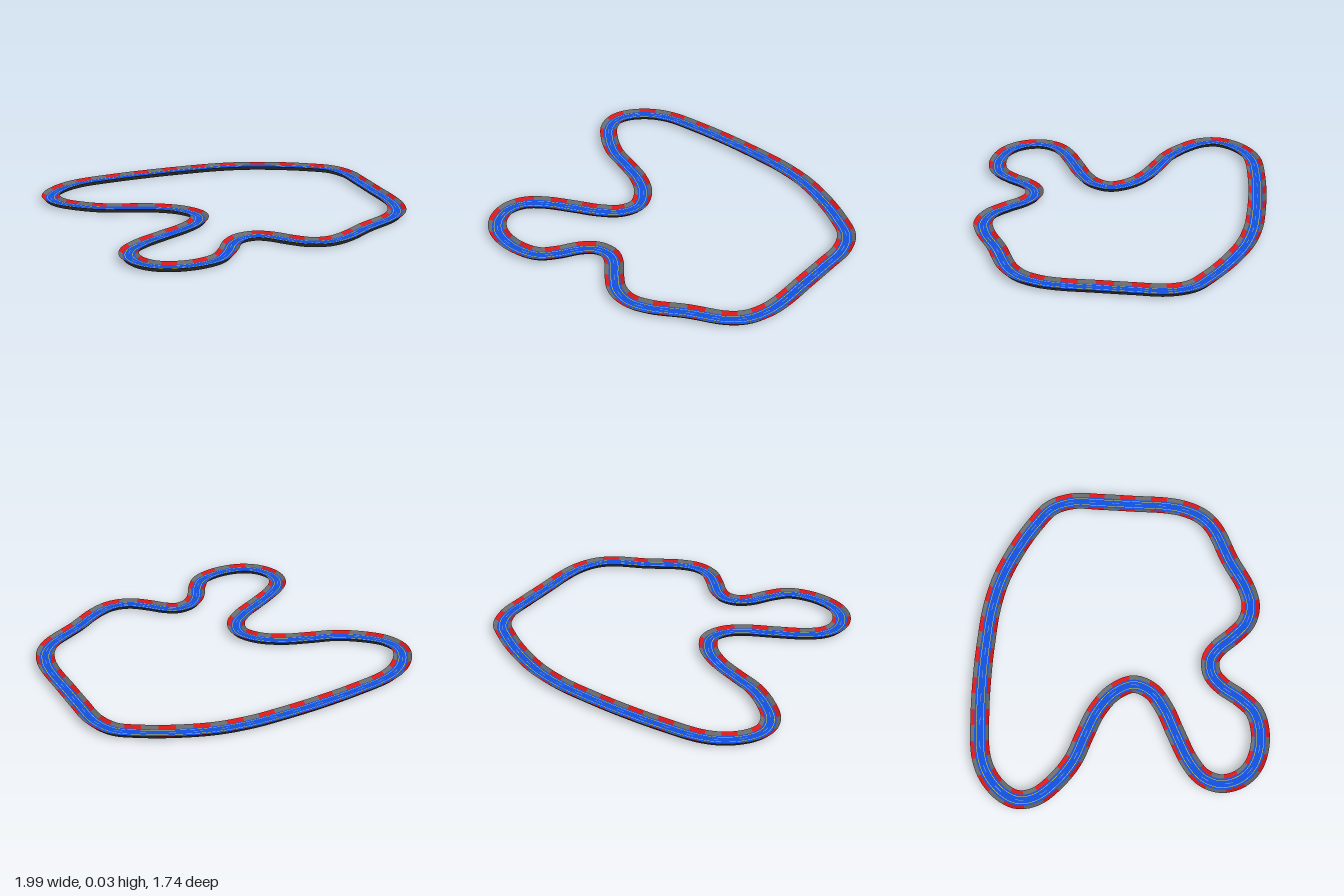
import * as THREE from 'three';

// Centreline of the circuit as x, z pairs, counter-clockwise from above
const PATH = [
  [0.94, 0.2], [0.94, 0], [0.94, -0.2], [0.935, -0.37], [0.88, -0.5], [0.77, -0.585],
  [0.6, -0.68], [0.4, -0.76], [0.2, -0.8], [0, -0.812], [-0.2, -0.815], [-0.45, -0.805],
  [-0.7, -0.775], [-0.82, -0.72], [-0.91, -0.63], [-0.945, -0.54], [-0.92, -0.44],
  [-0.83, -0.34], [-0.7, -0.25], [-0.55, -0.195], [-0.4, -0.135], [-0.28, -0.045],
  [-0.222, 0.07], [-0.26, 0.175], [-0.36, 0.255], [-0.5, 0.325], [-0.66, 0.41],
  [-0.75, 0.49], [-0.783, 0.59], [-0.75, 0.7], [-0.66, 0.78], [-0.5, 0.812],
  [-0.35, 0.775], [-0.27, 0.69], [-0.2, 0.58], [-0.13, 0.52], [-0.04, 0.51],
  [0.03, 0.55], [0.11, 0.635], [0.2, 0.71], [0.31, 0.735], [0.43, 0.7],
  [0.6, 0.6], [0.8, 0.5], [0.88, 0.42], [0.925, 0.31],
];
const STEPS = 288;
const HALF = 0.054, FLOOR = 0.032, BASE = 0.027; // half widths: rim, road, underside
const TOP = 0.03, ROAD = 0.017;                  // heights: rim, road

export function createModel() {
  const track = new THREE.Group();
  track.name = 'raceTrack';

  const curve = new THREE.CatmullRomCurve3(
    PATH.map(([x, z]) => new THREE.Vector3(x, 0, z)), true, 'centripetal');
  curve.arcLengthDivisions = 1000;
  const frames = Array.from({ length: STEPS }, (_, i) => {
    const t = curve.getTangentAt(i / STEPS);
    return { p: curve.getPointAt(i / STEPS), nx: -t.z, nz: t.x };
  });

  // Sweeps the line from a to b (offset, height) along the steps that keep() accepts
  function strip(name, color, a, b, keep = () => true) {
    const pos = [], index = [];
    for (const { p, nx, nz } of frames) {
      for (const [o, y] of [a, b]) pos.push(p.x + nx * o, y, p.z + nz * o);
    }
    for (let i = 0; i < STEPS; i++) {
      if (!keep(i)) continue;
      const j = (i + 1) % STEPS;
      index.push(2 * i, 2 * i + 1, 2 * j, 2 * i + 1, 2 * j + 1, 2 * j);
    }
    const geo = new THREE.BufferGeometry();
    geo.setAttribute('position', new THREE.Float32BufferAttribute(pos, 3));
    geo.setIndex(index);
    geo.computeVertexNormals();
    const mesh = new THREE.Mesh(geo, new THREE.MeshStandardMaterial({ color, side: THREE.DoubleSide }));
    mesh.name = name;
    track.add(mesh);
  }

  // Road surface
  strip('road', 0x1050e0, [-FLOOR, ROAD], [FLOOR, ROAD]);

  // Sloping kerbs in alternating red and grey blocks
  const red = (i) => Math.floor(i / 4) % 2 === 0;
  const sides = [
    ['outer', [FLOOR, ROAD], [HALF, TOP]],
    ['inner', [-HALF, TOP], [-FLOOR, ROAD]],
  ];
  for (const [side, a, b] of sides) {
    strip(side + 'KerbRed', 0xd81818, a, b, red);
    strip(side + 'KerbGrey', 0x6a6a6a, a, b, (i) => !red(i));
  }

  // Painted lines just above the road
  const line = (name, color, at, w, keep) =>
    strip(name, color, [at - w / 2, ROAD + 0.0012], [at + w / 2, ROAD + 0.0012], keep);
  line('outerLine', 0xd8c020, 0.02, 0.003);
  line('innerLine', 0xd8c020, -0.02, 0.003);
  line('centreDashes', 0x8a9cc0, 0, 0.003, (i) => i % 6 < 2);

  // Dark body: flared side walls and flat underside
  strip('outerWall', 0x3a3a3a, [HALF, TOP], [BASE, 0]);
  strip('underside', 0x3a3a3a, [BASE, 0], [-BASE, 0]);
  strip('innerWall', 0x3a3a3a, [-BASE, 0], [-HALF, TOP]);

  return track;
}
